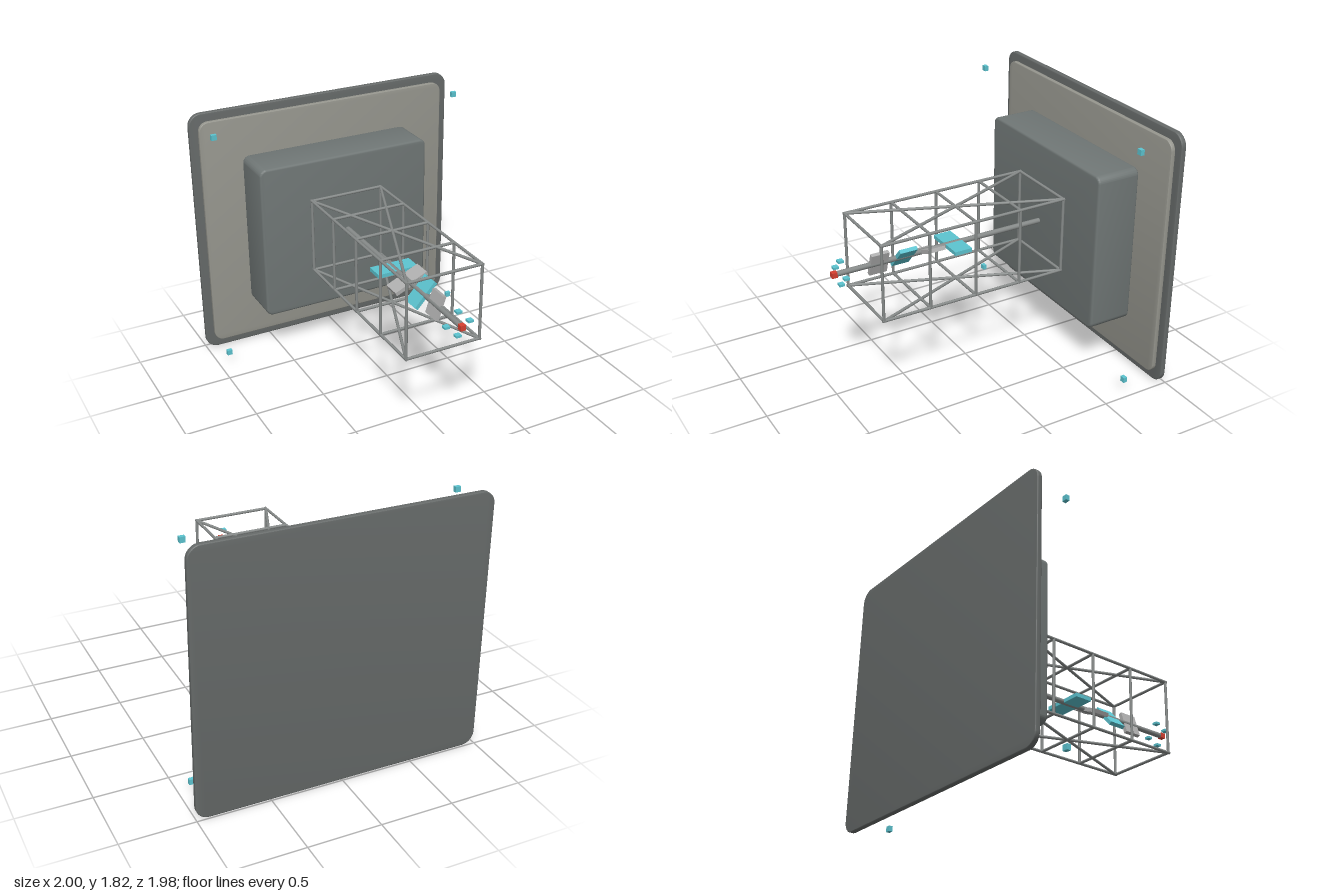
import * as THREE from 'three';
import { toCreasedNormals } from 'three/addons/utils/BufferGeometryUtils.js';

const CY = 0.913; // height of the central axis

const paint = (color) => new THREE.MeshStandardMaterial({ color });
const DARK = paint(0x666a69);
const PANEL = paint(0x96968e);
const HOUSING = paint(0x707776);
const STEEL = paint(0x868a89);
const CYAN = paint(0x5cc4d0);
const GREY = paint(0xb0b0b0);
const RED = paint(0xd84030);

function add(parent, name, geometry, material, x = 0, y = 0, z = 0) {
  const mesh = new THREE.Mesh(geometry, material);
  mesh.name = name;
  mesh.position.set(x, y, z);
  parent.add(mesh);
  return mesh;
}

// Rounded rectangle slab with bevelled rims, spanning z0..z1
function slab(parent, name, material, w, h, r, z0, z1, bevel) {
  const a = w / 2 - bevel, b = h / 2 - bevel, c = r - bevel;
  const s = new THREE.Shape();
  s.absarc(a - c, b - c, c, 0, Math.PI / 2);
  s.absarc(-a + c, b - c, c, Math.PI / 2, Math.PI);
  s.absarc(-a + c, -b + c, c, Math.PI, Math.PI * 1.5);
  s.absarc(a - c, -b + c, c, Math.PI * 1.5, Math.PI * 2);
  const geo = new THREE.ExtrudeGeometry(s, {
    depth: z1 - z0 - 2 * bevel, curveSegments: 8,
    bevelSize: bevel, bevelThickness: bevel, bevelSegments: 3,
  });
  return add(parent, name, toCreasedNormals(geo, 0.7), material, 0, CY, z0 + bevel);
}

// Round bar between two points
function bar(parent, name, from, to, radius) {
  const a = new THREE.Vector3(...from), b = new THREE.Vector3(...to);
  const dir = b.clone().sub(a);
  const mesh = add(parent, name, new THREE.CylinderGeometry(radius, radius, dir.length(), 12), STEEL);
  mesh.position.copy(a).add(b).multiplyScalar(0.5);
  mesh.quaternion.setFromUnitVectors(new THREE.Vector3(0, 1, 0), dir.normalize());
  return mesh;
}

export function createModel() {
  const model = new THREE.Group();
  model.name = 'model';

  // Stacked back plates and housing
  slab(model, 'backPlate', DARK, 2, 1.82, 0.09, -0.99, -0.955, 0.006);
  slab(model, 'frontPlate', PANEL, 1.88, 1.7, 0.07, -0.957, -0.927, 0.004);
  slab(model, 'housing', HOUSING, 1.285, 1.125, 0.05, -0.93, -0.613, 0.015);

  // Open truss: longerons, square frames, crossed braces above and below
  const truss = new THREE.Group();
  truss.name = 'truss';
  model.add(truss);
  const R = 0.01, T = 0.27, Z0 = -0.605, Z1 = 0.757;
  for (const s of [-1, 1]) {
    for (const t of [-1, 1]) {
      bar(truss, 'longeron', [s * T, CY + t * T, Z0 - 0.01], [s * T, CY + t * T, Z1 + R], R);
      bar(truss, 'diagonalBrace', [-s * T, CY + t * T, Z0], [s * T, CY + t * T, Z1], R);
    }
  }
  for (let i = 0; i < 5; i++) {
    const z = Z0 + (i * (Z1 - Z0)) / 4;
    for (const s of [-1, 1]) {
      bar(truss, 'framePost', [s * T, CY - T, z], [s * T, CY + T, z], R);
      bar(truss, 'frameRail', [-T, CY + s * T, z], [T, CY + s * T, z], R);
    }
  }

  // Central rod with blades that twist and shrink toward the tip
  bar(model, 'centralRod', [0, CY, -0.593], [0, CY, 0.95], 0.0185);
  for (let i = 0; i < 4; i++) {
    const geo = new THREE.BoxGeometry(0.296 - 0.042 * i, 0.027, 0.127);
    const blade = add(model, 'blade', geo, i % 2 ? GREY : CYAN, 0, CY, 0.097 + 0.185 * i);
    blade.rotation.z = THREE.MathUtils.degToRad(24 * i);
  }

  // Tip block and the small tabs around it
  add(model, 'tipBlock', new THREE.BoxGeometry(0.037, 0.037, 0.037), RED, 0, CY, 0.969);
  const tab = new THREE.BoxGeometry(0.038, 0.016, 0.037);
  for (const s of [-1, 1]) {
    add(model, 'sideTab', tab, CYAN, s * 0.085, CY, 0.922);
    add(model, 'verticalTab', tab, CYAN, 0, CY + s * 0.085, 0.922);
  }

  // Free corner markers in front of the plates
  for (const s of [-1, 1]) {
    for (const t of [-1, 1]) {
      add(model, 'cornerMarker', new THREE.BoxGeometry(0.037, 0.037, 0.027), CYAN, s * 0.918, CY + t * 0.828, -0.703);
    }
  }

  // Rest the lowest edge on the ground
  model.position.y = 0.91 - CY;
  const root = new THREE.Group();
  root.add(model);
  return root;
}
